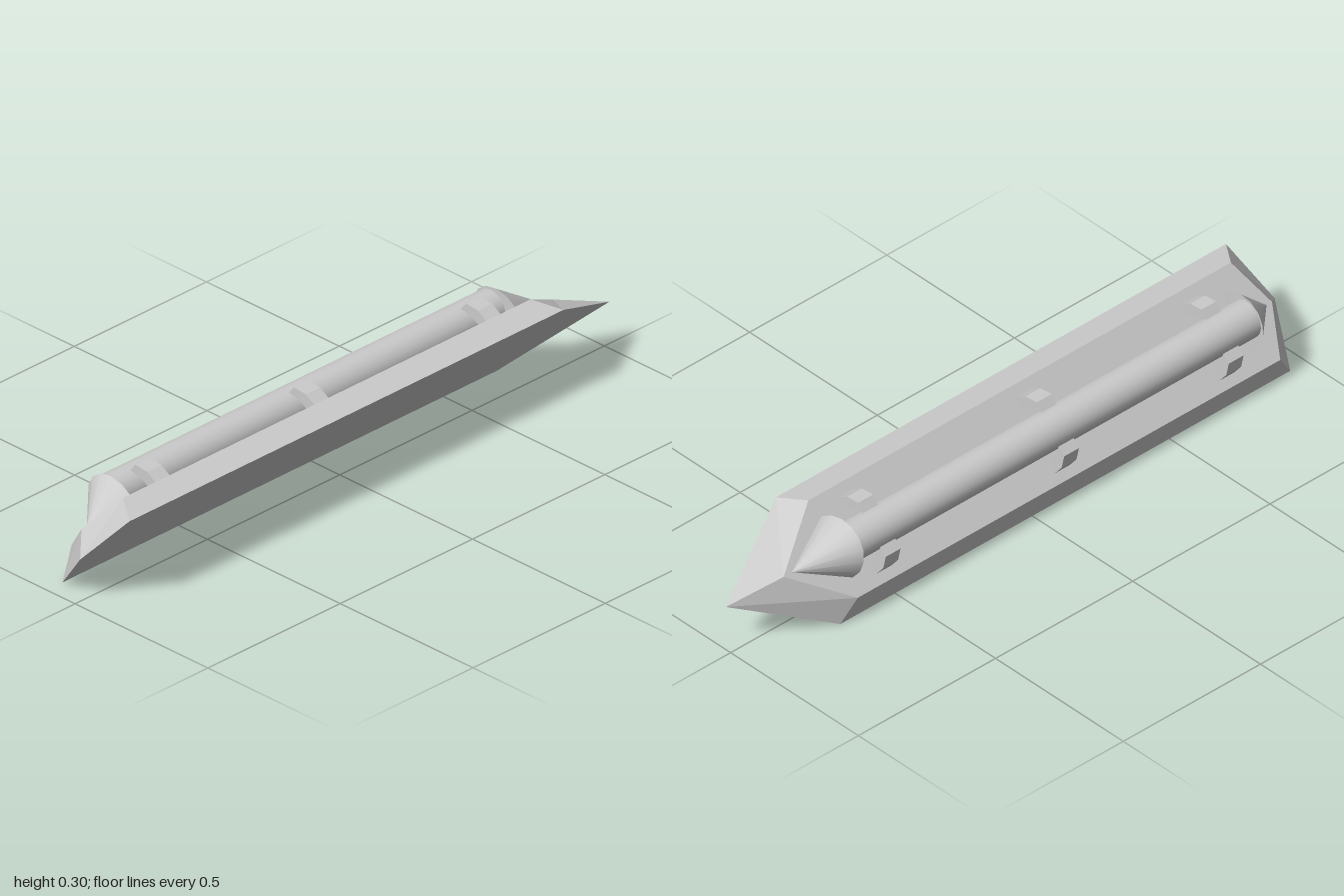
import * as THREE from 'three';

const grey = new THREE.MeshStandardMaterial({ color: 0xcccccc });
const faceted = new THREE.MeshStandardMaterial({ color: 0xcccccc, flatShading: true });

function add(parent, name, geometry, material = grey) {
  const mesh = new THREE.Mesh(geometry, material);
  mesh.name = name;
  parent.add(mesh);
  return mesh;
}

// Six-sided outline: pointed back, long sides, blunt front point
const outline = (w, y, back, shoulder, side, front) => [
  [0, y, back], [-w, y, shoulder], [-w, y, side],
  [0, y, front], [w, y, side], [w, y, shoulder],
];

// Bevelled slab lofted between two outlines, with flat caps
function slab(bottom, top) {
  const n = bottom.length, pos = [];
  const tri = (...points) => points.forEach((p) => pos.push(...p));
  for (let i = 0; i < n; i++) {
    const j = (i + 1) % n;
    tri(bottom[i], bottom[j], top[j]);
    tri(bottom[i], top[j], top[i]);
    if (i > 0 && i < n - 1) {
      tri(top[0], top[i], top[j]);
      tri(bottom[0], bottom[j], bottom[i]);
    }
  }
  const g = new THREE.BufferGeometry();
  g.setAttribute('position', new THREE.Float32BufferAttribute(pos, 3));
  g.computeVertexNormals();
  return g;
}

// Half cone lying on the slab, pointing backwards (dir -1) or forwards (dir 1)
function halfCone(length, baseZ, dir) {
  return new THREE.ConeGeometry(1, length, 8, 1, false, dir * Math.PI / 2, Math.PI)
    .rotateX(dir * Math.PI / 2)
    .scale(0.092, 0.115, 1)
    .translate(0, 0, baseZ + dir * length / 2);
}

export function createModel() {
  const root = new THREE.Group();
  root.name = 'mountedTube';

  // Everything is built upright, then tilted sideways
  const body = new THREE.Group();
  body.name = 'tiltedBody';
  body.position.set(0.019, 0.1455, 0);
  body.rotation.z = Math.atan2(0.285, 0.252);
  root.add(body);

  const H = 0.073;
  add(body, 'basePlate', slab(
    outline(0.19, 0, -1, -0.7, 0.94, 1),
    outline(0.146, H, -0.84, -0.66, 0.88, 0.94),
  ), faceted);

  // Parts standing on the plate
  const deck = new THREE.Group();
  deck.name = 'tubeAssembly';
  deck.position.y = H;
  body.add(deck);

  const back = -0.645, front = 0.81;
  add(deck, 'tube', new THREE.CylinderGeometry(0.057, 0.057, front - back, 24)
    .rotateX(Math.PI / 2).translate(0, 0.052, (front + back) / 2));
  add(deck, 'backCone', halfCone(0.165, back, -1));
  add(deck, 'frontCone', halfCone(0.11, front, 1));

  // Three pairs of curved clamps gripping the tube
  const depth = 0.054;
  const profile = [[0.115, -0.003], [0.107, 0.042], [0.081, 0.078], [0.05, 0.077], [0.07, 0.045], [0.08, -0.003]];
  for (const z of [-0.545, 0.105, 0.705]) {
    for (const side of [-1, 1]) {
      const shape = new THREE.Shape(profile.map(([x, y]) => new THREE.Vector2(side * x, y)));
      add(deck, side > 0 ? 'leftClamp' : 'rightClamp',
        new THREE.ExtrudeGeometry(shape, { depth, bevelEnabled: false }).translate(0, 0, z - depth / 2), faceted);
    }
  }
  return root;
}
